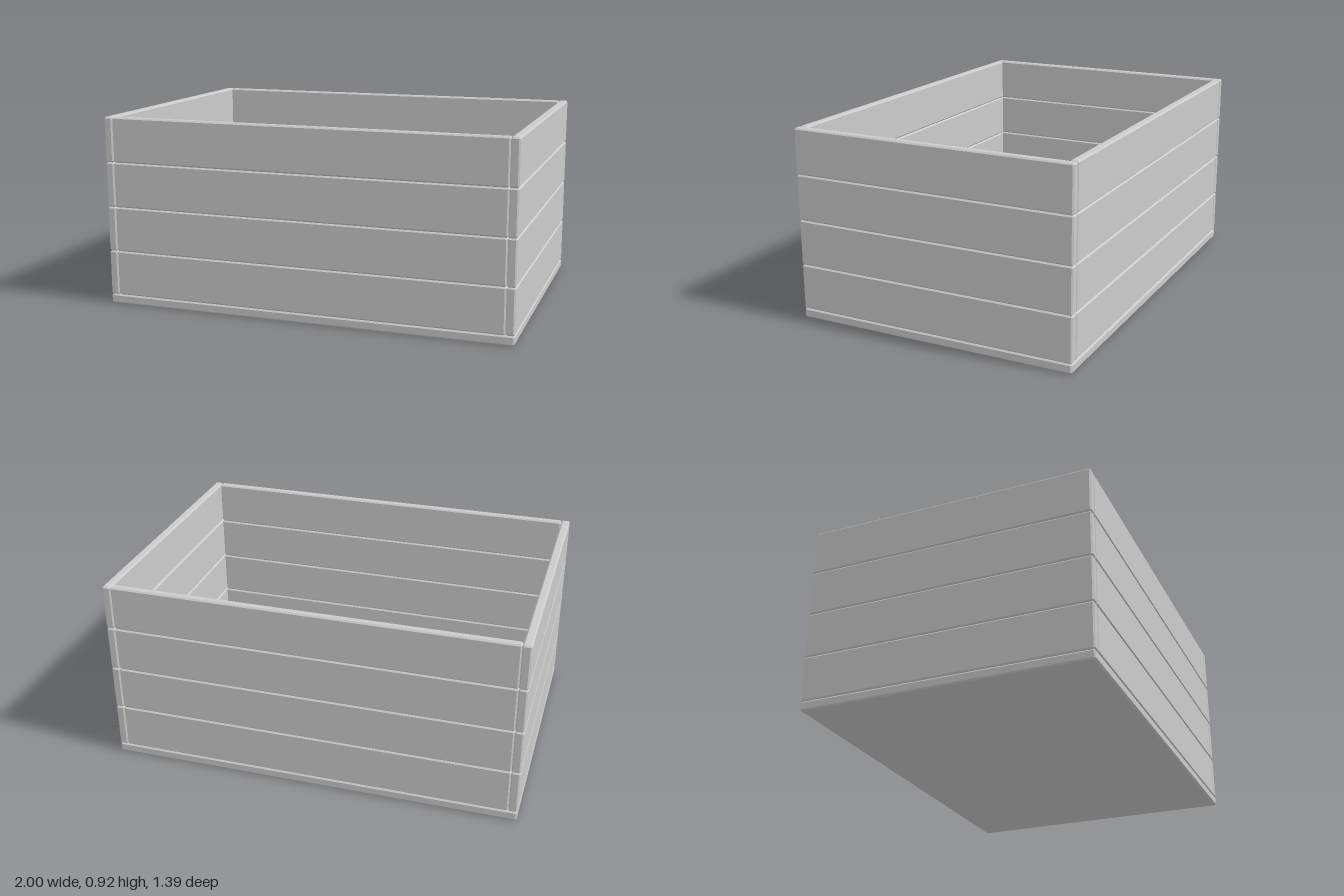
import * as THREE from 'three';
import { ConvexGeometry } from 'three/addons/geometries/ConvexGeometry.js';

const BEVEL = 0.007;

// Box with a flat chamfer on every edge
function chamferedBox(w, h, d) {
  const half = [w / 2, h / 2, d / 2];
  const points = [];
  for (const sx of [-1, 1]) for (const sy of [-1, 1]) for (const sz of [-1, 1]) {
    const signs = [sx, sy, sz];
    // three points per corner, each lying on one of the faces
    for (let face = 0; face < 3; face++) {
      const c = half.map((v, i) => signs[i] * (i === face ? v : v - BEVEL));
      points.push(new THREE.Vector3(...c));
    }
  }
  return new ConvexGeometry(points);
}

export function createModel() {
  const crate = new THREE.Group();
  crate.name = 'crate';
  const material = new THREE.MeshStandardMaterial({ color: 0xcccccc, flatShading: true });

  const width = 2, depth = 1.39, height = 0.922;
  const floorThickness = 0.045, sideThickness = 0.042, wallThickness = 0.04;
  const rows = 4;
  const plankHeight = (height - floorThickness) / rows;

  const add = (name, geometry, x, y, z) => {
    const mesh = new THREE.Mesh(geometry, material);
    mesh.name = name;
    mesh.position.set(x, y, z);
    crate.add(mesh);
  };

  // Solid floor board
  add('floor', chamferedBox(width, floorThickness, depth), 0, floorThickness / 2, 0);

  // Stacked planks: full-depth sides, with front and back fitted between them
  const sidePlank = chamferedBox(sideThickness, plankHeight, depth);
  const longPlank = chamferedBox(width - 2 * sideThickness, plankHeight, wallThickness);
  for (let row = 0; row < rows; row++) {
    const y = floorThickness + (row + 0.5) * plankHeight;
    for (const s of [-1, 1]) {
      add(`${s > 0 ? 'left' : 'right'}Plank${row + 1}`, sidePlank, s * (width - sideThickness) / 2, y, 0);
      add(`${s > 0 ? 'front' : 'back'}Plank${row + 1}`, longPlank, 0, y, s * (depth - wallThickness) / 2);
    }
  }
  return crate;
}
